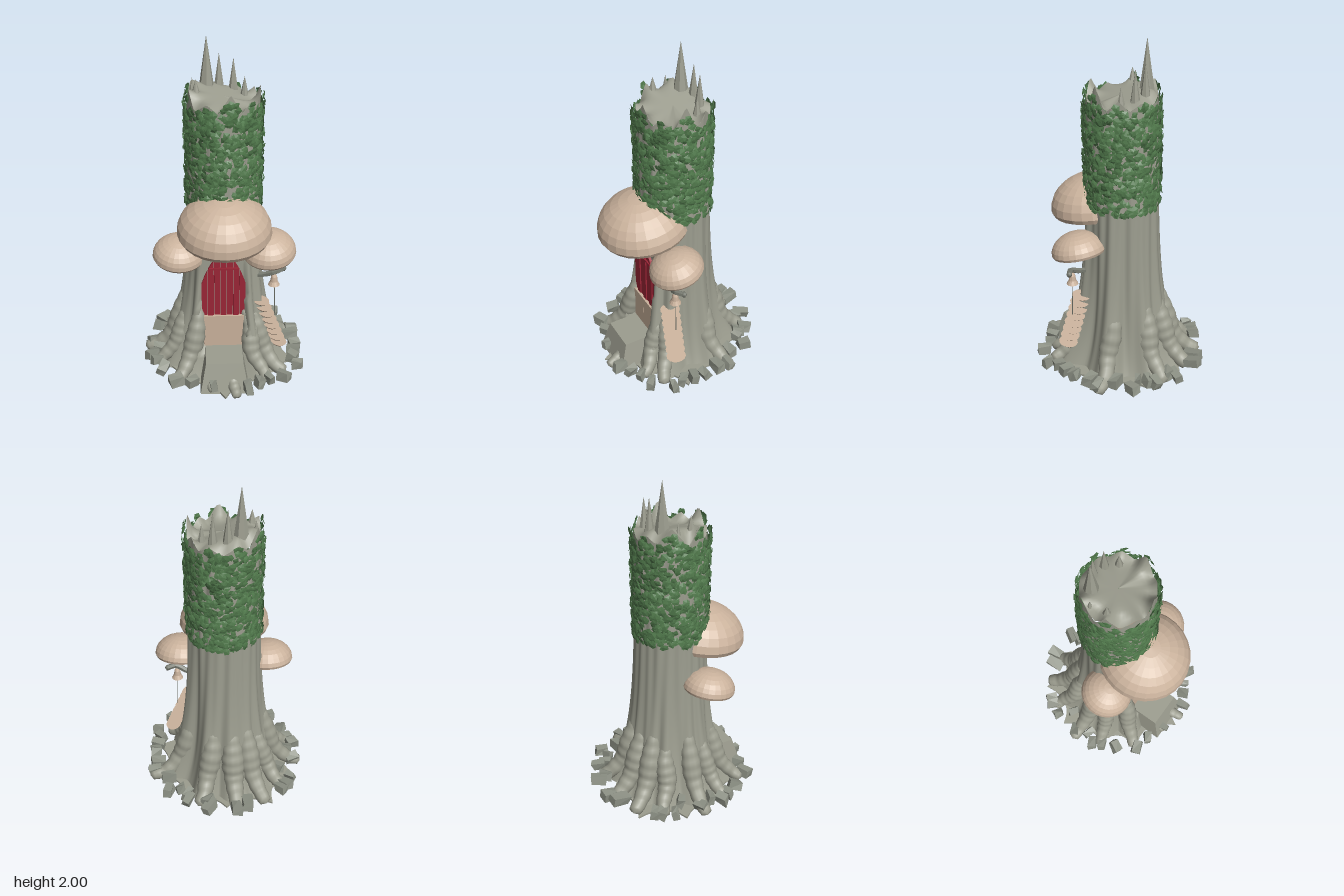
import * as THREE from 'three';
import { mergeGeometries, mergeVertices } from 'three/addons/utils/BufferGeometryUtils.js';

const mat = (name, color) => {
  const m = new THREE.MeshStandardMaterial({ color });
  m.name = name;
  return m;
};

export function createModel() {
  const bark = mat('bark grey', 0x9c9d8f), stone = mat('stone grey', 0x8f9387);
  const tan = mat('mushroom tan', 0xcbb39d), red = mat('door red', 0x9c2637);
  const twig = mat('twig grey', 0x777a70), leaf = mat('ivy green', 0x527b4d);
  leaf.side = THREE.DoubleSide;
  const model = new THREE.Group();
  model.name = 'treeHouse';

  let seed = 11;
  const rnd = () => (seed = (seed * 16807) % 2147483647) / 2147483647;
  const spread = (a) => (rnd() * 2 - 1) * a;

  const add = (name, geo, material, x = 0, y = 0, z = 0, parent = model) => {
    const m = new THREE.Mesh(geo, material);
    m.name = name;
    m.position.set(x, y, z);
    parent.add(m);
    return m;
  };
  const flat = (geo) => {
    const g = geo.index ? geo.toNonIndexed() : geo;
    g.computeVertexNormals();
    return g;
  };
  const weld = (geo) => mergeVertices(geo.deleteAttribute('uv').deleteAttribute('normal'), 1e-5);
  const smooth = (geo) => {
    const g = weld(geo);
    g.computeVertexNormals();
    return g;
  };
  // Move every vertex of a geometry by a rule
  const warp = (geo, rule) => {
    const p = geo.attributes.position, v = new THREE.Vector3();
    for (let i = 0; i < p.count; i++) {
      rule(v.fromBufferAttribute(p, i), i);
      p.setXYZ(i, v.x, v.y, v.z);
    }
    return geo;
  };
  const angleGap = (a, b) => Math.abs(Math.atan2(Math.sin(a - b), Math.cos(a - b)));

  // Root tips: x, z, height where the root leaves the trunk, thickness
  const roots = [[-0.48, -0.02, 0.5, 0.06], [-0.25, -0.4, 0.5, 0.066], [-0.07, -0.44, 0.48, 0.07], [0.17, -0.42, 0.5, 0.066],
    [0.48, -0.16, 0.5, 0.06], [0.38, 0.27, 0.45, 0.06], [0.26, 0.36, 0.42, 0.055], [-0.29, 0.35, 0.46, 0.06],
    [-0.41, 0.16, 0.4, 0.055], [-0.37, -0.25, 0.42, 0.06], [0.07, 0.5, 0.13, 0.045], [-0.08, 0.44, 0.12, 0.04]];
  const rootR = (y) => 0.2 + 0.2 * Math.exp(-y / 0.38);
  const valleyR = (y) => 0.2 + 0.105 * Math.exp(-y / 0.24);

  // Jagged broken rim: angle, height, half width
  const jags = [[-1.25, 1.75, 0.3], [-0.5, 1.7, 0.35], [0.15, 1.76, 0.35], [0.75, 1.7, 0.3], [1.4, 1.78, 0.3],
    [2.1, 1.71, 0.3], [2.75, 1.69, 0.35], [-2.75, 1.7, 0.4], [-2.05, 1.76, 0.45]];
  const rim = (t) => jags.reduce((h, [a, top, w]) =>
    Math.max(h, top - (top - 1.65) * angleGap(t, a) / w), 1.65);

  // Trunk: flared and fluted, flattened behind the door
  const trunk = warp(new THREE.CylinderGeometry(1, 1, 1, 120, 64, true), (v) => {
    const t = Math.atan2(v.x, v.z), k = v.y + 0.5, y = k * rim(t);
    let lobe = 0;
    for (const [x, z, h] of roots) {
      if (h > 0.2) lobe = Math.max(lobe, Math.exp(-((angleGap(t, Math.atan2(x, z)) / 0.24) ** 2)));
    }
    const flute = 0.004 * (Math.sin(13 * t + y) + Math.sin(22 * t - 2 * y)) * (y > 1.55 ? 0.3 : 1);
    const r = THREE.MathUtils.lerp(valleyR(y), rootR(y), lobe) + flute;
    v.set(Math.sin(t) * r + 0.012, y, Math.cos(t) * r);
    if (Math.abs(v.x) < 0.135 && y > 0.16 && y < 0.8 && v.z > 0) v.z = Math.min(v.z, 0.18);
  });
  add('trunk', smooth(trunk), bark);

  // Tilted broken wood inside the rim
  const top = new THREE.RingGeometry(0.001, 0.2, 60, 8).rotateX(-Math.PI / 2);
  warp(top, (v) => {
    const t = Math.atan2(v.x, v.z), k = Math.hypot(v.x, v.z) / 0.2;
    const floor = 1.69 - 0.3 * v.x - 0.15 * v.z + 0.03 * k * Math.max(0, 1 - angleGap(t, 1.25) / 0.4);
    v.y = THREE.MathUtils.lerp(Math.min(floor, 1.76), rim(t), k ** 6);
    v.x += 0.012;
  });
  add('brokenTop', smooth(top), bark);

  // Splinters: x, z, base, tip, radius
  for (const [x, z, base, tip, r] of [[-0.08, -0.1, 1.66, 2, 0.05], [-0.01, -0.14, 1.62, 1.89, 0.04],
    [0.07, -0.13, 1.6, 1.865, 0.04], [0.13, -0.08, 1.58, 1.775, 0.042], [-0.14, 0.04, 1.64, 1.8, 0.045],
    [-0.16, -0.05, 1.64, 1.78, 0.03]]) {
    const cone = new THREE.ConeGeometry(r, tip - base, 7, 2);
    add('splinter', flat(cone), bark, x, (base + tip) / 2, z).rotation.y = rnd();
  }

  // Roots: knobbly tubes that swell out of the trunk and taper to the tip
  for (const [x, z, h, thick] of roots) {
    const reach = Math.hypot(x, z), c = x / reach, s = z / reach;
    const path = h < 0.2
      ? [[0.2, h - 0.02], [0.32, h * 0.7], [0.42, 0.045], [reach, 0.02]]
      : [[rootR(h) - 0.055, h], [rootR(0.3) - 0.04, 0.3], [rootR(0.15) - 0.035, 0.15], [0.39, 0.055], [reach, 0.02]];
    const sway = spread(0.025);
    const curve = new THREE.CatmullRomCurve3(path.map(([r, y], i) =>
      new THREE.Vector3(c * r - s * sway * (i % 2), y, s * r + c * sway * (i % 2))));
    const steps = 40, sides = 12;
    const tube = warp(new THREE.TubeGeometry(curve, steps, thick, sides), (v, i) => {
      const t = Math.floor(i / (sides + 1)) / steps, p = curve.getPointAt(t);
      const swell = t < 0.5 ? 0.35 + 0.65 * Math.sin(t * Math.PI) : 1 - 0.9 * (t - 0.5);
      const size = swell * (1 + 0.04 * Math.sin(t * 50)) * (t === 1 ? 0.02 : 1);
      v.sub(p).multiplyScalar(size).add(p);
      v.y = Math.max(v.y, 0.003);
    });
    add('root', smooth(tube), bark);
  }

  // Ground skirt: thin slab with concave sides and pointed corners
  const star = new THREE.Shape();
  const corners = [0.47, 0.42, 0.49, 0.43, 0.41, 0.45, 0.48, 0.42, 0.43, 0.44];
  const corner = (i, r) => [Math.cos((i / 10) * Math.PI * 2 + 0.3) * r, -Math.sin((i / 10) * Math.PI * 2 + 0.3) * r];
  star.moveTo(...corner(0, corners[0]));
  for (let i = 0; i < 10; i++) star.quadraticCurveTo(...corner(i + 0.5, 0.31), ...corner(i + 1, corners[(i + 1) % 10]));
  const skirt = new THREE.ExtrudeGeometry(star, { depth: 0.012, bevelEnabled: false, curveSegments: 6 });
  add('groundSkirt', skirt.rotateX(-Math.PI / 2), bark);

  // Porch slab before the door, spreading towards the ground
  const porch = warp(new THREE.BoxGeometry(0.22, 0.18, 0.24), (v) => {
    if (v.y < 0) v.set(v.x * 1.3, v.y, v.z > 0 ? v.z + 0.05 : v.z);
  });
  add('porch', flat(porch), bark, 0.005, 0.09, 0.27);

  // Stones round the base: x, z, size
  const stones = [[-0.13, -0.43, 0.09], [-0.06, -0.47, 0.08], [0.1, -0.46, 0.075], [0.11, -0.41, 0.065], [0.23, -0.4, 0.065],
    [0.24, -0.35, 0.055], [0.28, -0.31, 0.045], [0.35, -0.32, 0.065], [0.36, -0.2, 0.07], [0.45, -0.14, 0.06],
    [0.43, -0.07, 0.075], [-0.36, -0.26, 0.08], [-0.34, -0.3, 0.06], [-0.4, -0.2, 0.05], [-0.33, -0.12, 0.055],
    [-0.42, -0.03, 0.06], [-0.43, 0.11, 0.065], [-0.4, 0.17, 0.055], [-0.39, 0.05, 0.06], [-0.36, 0.25, 0.065],
    [-0.28, 0.37, 0.075], [0.45, 0.03, 0.06], [0.44, 0.1, 0.065], [0.43, 0.17, 0.06], [0.45, 0.24, 0.055],
    [0.36, 0.35, 0.065], [0.27, 0.37, 0.05], [0.21, 0.41, 0.06], [0.14, 0.45, 0.065], [-0.19, 0.39, 0.055], [-0.06, 0.43, 0.05]];
  for (const [x, z, s] of stones) {
    const rock = warp(weld(new THREE.BoxGeometry(s * 0.75, 0.055, s * 1.2)),
      (v) => v.add(new THREE.Vector3(spread(0.008), spread(0.008), spread(0.008))));
    add('stone', flat(rock), stone, x, 0.055, z).rotation.set(spread(0.25), Math.atan2(x, z) + spread(0.6), spread(0.25));
  }

  // Ivy: small folded leaves scattered over the upper trunk
  const leaves = [];
  const pose = new THREE.Object3D();
  pose.rotation.order = 'YXZ';
  for (let i = 0; i < 1700; i++) {
    const a = rnd() * Math.PI * 2;
    const upper = Math.min(rim(a), 1.75) - 0.02 * rnd();
    const y = 1.04 + (upper - 1.04) * rnd(), r = 0.208 + 0.018 * rnd(), s = 0.021 + 0.008 * rnd();
    pose.position.set(Math.sin(a) * r + 0.012, y, Math.cos(a) * r);
    pose.rotation.set(spread(0.35), a + spread(0.35), spread(Math.PI));
    pose.scale.set(s, s * 0.85, s);
    pose.updateMatrix();
    const g = new THREE.CircleGeometry(1, i % 2 ? 4 : 5);
    g.attributes.position.setZ(0, 0.15);
    leaves.push(flat(g.applyMatrix4(pose.matrix)));
  }
  add('ivy', mergeGeometries(leaves), leaf);

  // Mushroom caps with gills
  const cap = (name, x, y, z, R, h, tiltX, tiltZ) => {
    const group = new THREE.Group();
    group.name = name;
    group.position.set(x, y, z);
    group.rotation.set(tiltX, 0, tiltZ);
    model.add(group);
    const profile = [[0.001, 0.3 * h], [0.55 * R, 0.28 * h], [0.88 * R, 0.1 * h], [0.95 * R, 0]];
    for (let i = 0; i <= 7; i++) {
      const a = (i / 7) * Math.PI / 2;
      profile.push([Math.max(R * Math.cos(a), 0.001), 0.12 * h + 0.88 * h * Math.sin(a)]);
    }
    const dome = new THREE.LatheGeometry(profile.map((p) => new THREE.Vector2(...p)), 26);
    add('cap', flat(dome), tan, 0, 0, 0, group);
    const gills = [];
    for (let i = 0; i < 32; i++) {
      gills.push(new THREE.BoxGeometry(0.72 * R, 0.18 * h, 0.005)
        .translate(0.52 * R, 0.17 * h, 0).rotateY((i / 32) * Math.PI * 2));
    }
    add('gills', mergeGeometries(gills), tan, 0, 0, 0, group);
  };
  cap('doorMushroom', 0.01, 0.935, 0.19, 0.27, 0.23, 0.15, 0);
  cap('rightMushroom', -0.253, 0.745, 0.105, 0.153, 0.127, 0.2, -0.05);
  cap('leftMushroom', 0.27, 0.77, 0.118, 0.16, 0.132, 0.24, 0.03);

  // Arched plank door
  const arch = (x) => 0.6 + 0.19 * (1 - Math.min(Math.abs(x) / 0.13, 1) ** 2.2);
  const planks = 7, w = 0.26 / planks;
  for (let i = 0; i < planks; i++) {
    const a = -0.13 + i * w + 0.0015, b = a + w - 0.003, m = (a + b) / 2;
    const s = new THREE.Shape([[a, 0.385], [b, 0.385], [b, arch(b)], [m, arch(m)], [a, arch(a)]]
      .map((p) => new THREE.Vector2(...p)));
    add('doorPlank', new THREE.ExtrudeGeometry(s, { depth: 0.07, bevelEnabled: false }), red, 0.005, 0, 0.12 + (i % 2) * 0.006);
  }
  add('doorBar', new THREE.BoxGeometry(0.17, 0.012, 0.01), red, 0.005, 0.71, 0.198);

  // Two-leaf panel under the door
  for (const side of [-1, 1]) {
    add('lowerPanel', new THREE.BoxGeometry(0.118, 0.21, 0.1), tan, 0.007 + side * 0.06, 0.285, 0.157);
  }

  // Shelf fungus stair on the left flank
  for (let i = 0; i < 8; i++) {
    const k = i / 7;
    const step = new THREE.CylinderGeometry(0.062, 0.05, 0.011, 14).scale(0.8, 1, 1);
    add('stairStep', flat(step), tan, 0.23 + 0.11 * k, 0.45 - 0.28 * k, 0.145 + 0.02 * k)
      .rotation.set(-0.06, 0, -0.14);
  }

  // Twig bracket with hanging bell and cord
  const arm = new THREE.CatmullRomCurve3([[0.18, 0.62, 0.12], [0.25, 0.635, 0.14], [0.31, 0.66, 0.155], [0.36, 0.665, 0.125]]
    .map((p) => new THREE.Vector3(...p)));
  add('bracket', flat(new THREE.TubeGeometry(arm, 8, 0.017, 6)), twig);
  add('bracketTip', new THREE.SphereGeometry(0.0175, 6, 4), twig, 0.36, 0.665, 0.125);
  const bell = [[0.001, 0.01], [0.028, 0.005], [0.035, 0], [0.022, 0.025], [0.018, 0.055], [0.012, 0.068], [0.001, 0.072]];
  add('bell', flat(new THREE.LatheGeometry(bell.map((p) => new THREE.Vector2(...p)), 12)), tan, 0.303, 0.57, 0.15);
  const cord = add('bellCord', new THREE.CylinderGeometry(0.0025, 0.0025, 0.3, 5), twig, 0.308, 0.51, 0.15);
  cord.rotation.z = 0.03;
  return model;
}
